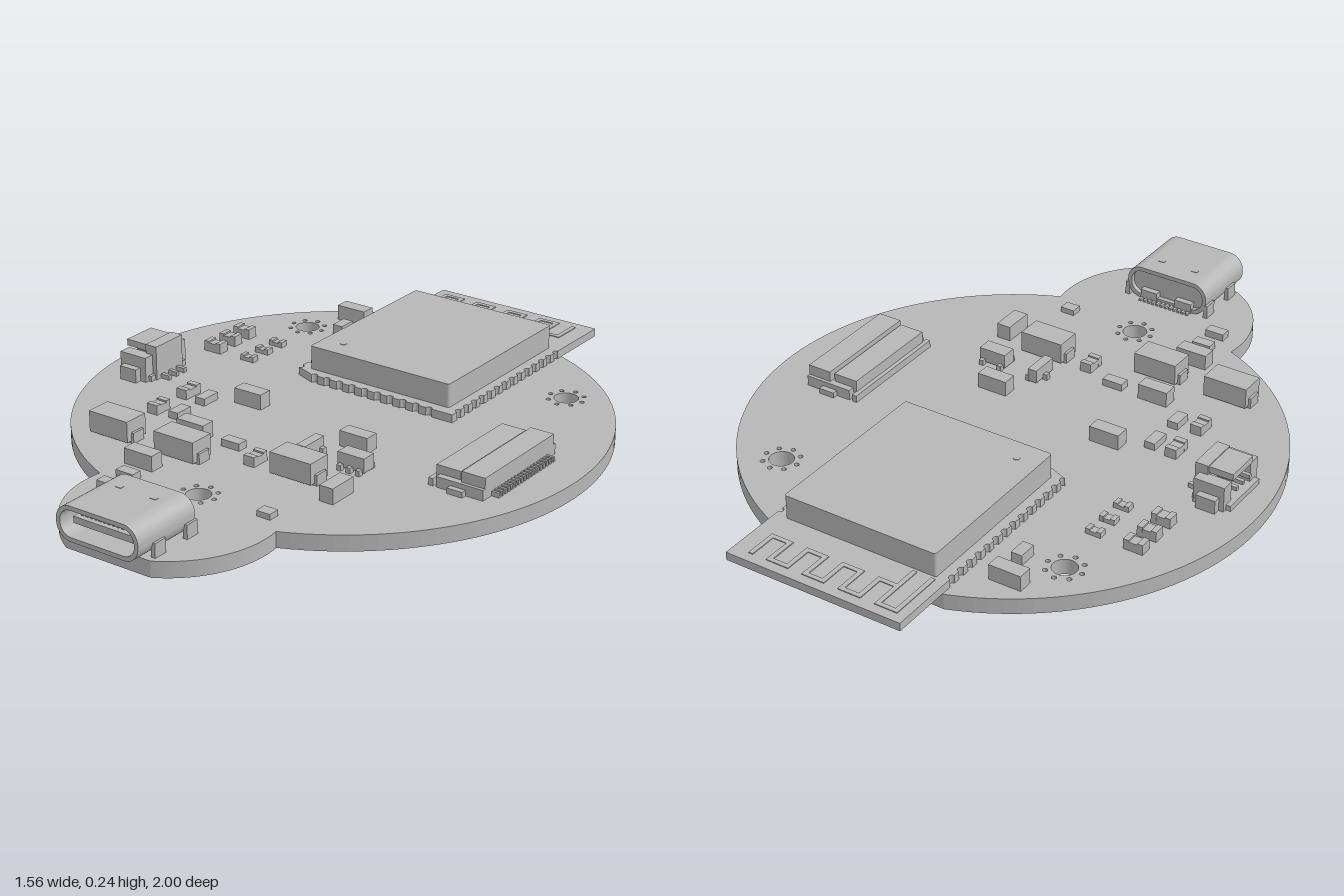
import * as THREE from 'three';

const TOP = 0.133, BOT = 0.085; // board faces

export function createModel() {
  const root = new THREE.Group();
  const grey = new THREE.MeshStandardMaterial({ color: 0xb6b6b6 });
  grey.name = 'plainGrey';

  const add = (name, geo, parent = root) => {
    const m = new THREE.Mesh(geo, grey);
    m.name = name;
    parent.add(m);
    return m;
  };
  const group = (name) => {
    const g = new THREE.Group();
    g.name = name;
    root.add(g);
    return g;
  };
  // box given by its limits on each axis
  const box = (name, x0, x1, y0, y1, z0, z1, parent) => {
    const g = new THREE.BoxGeometry(x1 - x0, y1 - y0, z1 - z0);
    g.translate((x0 + x1) / 2, (y0 + y1) / 2, (z0 + z1) / 2);
    return add(name, g, parent);
  };
  // flat slab from a plan outline drawn in (x, -z)
  const slab = (name, shape, y, h, parent) => {
    const g = new THREE.ExtrudeGeometry(shape, { depth: h, bevelEnabled: false, curveSegments: 24 });
    g.rotateX(-Math.PI / 2);
    g.translate(0, y, 0);
    return add(name, g, parent);
  };
  const circle = (x, y, r) => new THREE.Path().absarc(x, y, r, 0, Math.PI * 2, true);
  const roundRect = (P, w, h, r, cy) => {
    const p = new P(), a = Math.PI / 2;
    [[1, -1, -a], [1, 1, 0], [-1, 1, a], [-1, -1, 2 * a]].forEach(([sx, sy, t]) =>
      p.absarc(sx * (w - r), cy + sy * (h - r), r, t, t + a, false));
    p.closePath();
    return p;
  };

  // Circuit board: main disc, small front lobe, flat back edge, three mounting holes
  const outline = new THREE.Shape();
  outline.absarc(0, 0.08, 0.78, -1.176, 1.18, false);
  outline.absarc(0, 0.08, 0.78, Math.PI - 1.22, Math.PI + 1.176, false);
  outline.absarc(0, -0.69, 0.305, Math.PI - 0.165, Math.PI + 1.087, false);
  outline.absarc(0, -0.69, 0.305, -1.087, 0.165, false);
  outline.closePath();
  for (const [x, s] of [[-0.467, 0.543], [0.467, 0.543], [0, -0.585]]) {
    outline.holes.push(circle(x, s, 0.036));
    for (let i = 0; i < 8; i++) {
      const a = i * Math.PI / 4;
      outline.holes.push(circle(x + Math.cos(a) * 0.053, s + Math.sin(a) * 0.053, 0.007));
    }
  }
  slab('circuitBoard', outline, BOT, TOP - BOT);

  // Radio module: notched carrier, shield can, antenna trace
  const radio = group('radioModule');
  const XL = -0.265, XR = 0.295, q = Math.PI / 2, nr = 0.01;
  const carrier = new THREE.Shape();
  carrier.moveTo(XL, 0.2);
  for (let i = 0; i < 10; i++) carrier.absarc(-0.19 + i * 0.045, 0.2, nr, 2 * q, 0, true);
  carrier.lineTo(XR, 0.2);
  for (let i = 0; i < 14; i++) carrier.absarc(XR, 0.235 + i * 0.041, nr, -q, q, true);
  carrier.lineTo(XR, 1);
  carrier.lineTo(XL, 1);
  for (let i = 13; i >= 0; i--) carrier.absarc(XL, 0.235 + i * 0.041, nr, q, -q, true);
  carrier.closePath();
  slab('moduleCarrier', carrier, TOP, 0.025, radio);
  const can = roundRect(THREE.Shape, 0.245, 0.2775, 0.008, 0.5125);
  slab('shieldCan', can, 0.158, 0.073, radio).position.x = 0.015;
  const dot = add('pinOneDot', new THREE.CylinderGeometry(0.01, 0.01, 0.002, 16), radio);
  dot.position.set(-0.16, 0.2315, -0.305);
  const ty = 0.158, th = 0.1605, tw = 0.014;
  const bars = 9, pitch = 0.058, x0 = -0.235;
  for (let i = 0; i < bars; i++) {
    const x = x0 + i * pitch, far = i % 2 === 0;
    box('antennaBar', x, x + tw, ty, th, -0.97, i < 2 ? -0.8 : -0.87, radio);
    if (i < bars - 1) {
      const z = far ? -0.97 : -0.884;
      box('antennaLink', x + tw, x + pitch, ty, th, z, z + tw, radio);
    }
  }

  // USB-style socket: hollow rounded shell, back wall, tongue, legs
  const usb = group('powerSocket');
  const shell = roundRect(THREE.Shape, 0.137, 0.052, 0.048, 0.186);
  shell.holes.push(roundRect(THREE.Path, 0.124, 0.039, 0.036, 0.186));
  const sg = new THREE.ExtrudeGeometry(shell, { depth: 0.23, bevelEnabled: false, curveSegments: 10 });
  sg.translate(0, 0, 0.77);
  add('socketShell', sg, usb);
  const wall = new THREE.ExtrudeGeometry(roundRect(THREE.Shape, 0.125, 0.04, 0.036, 0.186),
    { depth: 0.04, bevelEnabled: false });
  wall.translate(0, 0, 0.785);
  add('socketBackWall', wall, usb);
  box('socketTongue', -0.1, 0.1, 0.176, 0.196, 0.8, 0.975, usb);
  for (const s of [-1, 1]) {
    for (const z of [0.79, 0.92]) {
      const x = s * 0.137;
      box('socketLeg', x - 0.007, x + 0.007, BOT - 0.004, 0.175, z - 0.022, z + 0.022, usb);
    }
    box('socketRearTab', s * 0.06 - 0.028, s * 0.06 + 0.028, TOP, 0.165, 0.765, 0.785, usb);
    box('socketTopDimple', s * 0.058 - 0.01, s * 0.058 + 0.01, 0.237, 0.2395, 0.832, 0.845, usb);
  }
  for (let i = 0; i < 12; i++) {
    const x = -0.082 + i * 0.0149;
    box('socketContact', x - 0.004, x + 0.004, 0.196, 0.198, 0.85, 0.96, usb);
    box('socketTail', x - 0.004, x + 0.004, TOP, 0.14, 0.75, 0.79, usb);
  }

  // Flat cable connector on the left side
  const flat = group('ribbonConnector');
  box('ribbonBase', 0.49, 0.64, TOP, 0.165, -0.195, 0.175, flat);
  box('ribbonHousing', 0.565, 0.64, TOP, 0.197, -0.185, 0.165, flat);
  box('ribbonLatch', 0.478, 0.556, 0.15, 0.19, -0.175, 0.155, flat);
  box('ribbonLip', 0.465, 0.48, TOP, 0.155, -0.195, 0.175, flat);
  for (const z of [-0.2, 0.18]) box('ribbonAnchor', 0.535, 0.585, TOP, 0.15, z - 0.012, z + 0.012, flat);
  for (let i = 0; i < 18; i++) {
    const z = -0.148 + i * 0.0163;
    box('ribbonPin', 0.635, 0.665, TOP, 0.147, z - 0.004, z + 0.004, flat);
  }

  // Battery connector on the right side
  const batt = group('batteryConnector');
  box('batteryFloor', -0.705, -0.585, TOP, 0.15, -0.085, 0.075, batt);
  box('batteryRoof', -0.695, -0.59, 0.215, 0.235, -0.06, 0.05, batt);
  box('batteryRear', -0.62, -0.58, TOP, 0.238, -0.065, 0.055, batt);
  for (const s of [-1, 1]) {
    const z = -0.005 + s * 0.073;
    box('batterySide', -0.69, -0.595, TOP, 0.21, z - 0.02, z + 0.02, batt);
    box('batteryAnchor', -0.675, -0.615, TOP, 0.175, z + s * 0.03 - 0.012, z + s * 0.03 + 0.012, batt);
  }
  for (const z of [-0.04, -0.005, 0.03]) {
    box('batteryPin', -0.7, -0.6, 0.175, 0.187, z - 0.006, z + 0.006, batt);
    box('batteryTail', -0.585, -0.55, TOP, 0.147, z - 0.006, z + 0.006, batt);
  }

  // Chip parts on top: centre x, z, width, depth, top height
  const blocks = [
    [-0.378, -0.672, 0.1, 0.045, 0.18], [-0.247, 0.027, 0.095, 0.045, 0.18],
    [-0.247, 0.292, 0.095, 0.045, 0.18], [0.172, 0.09, 0.095, 0.045, 0.18],
    [0.307, 0.38, 0.045, 0.095, 0.18], [-0.238, 0.53, 0.098, 0.045, 0.18],
    [-0.352, -0.57, 0.034, 0.058, 0.165], [-0.11, 0.29, 0.064, 0.034, 0.155],
    [-0.365, 0.09, 0.034, 0.064, 0.155], [-0.365, 0.214, 0.034, 0.06, 0.155],
    [0.227, 0.58, 0.045, 0.036, 0.15], [-0.22, 0.615, 0.06, 0.034, 0.155],
    [-0.22, 0.695, 0.06, 0.034, 0.155],
  ];
  for (const [x, z, w, d, y] of blocks) {
    box('chipCapacitor', x - w / 2, x + w / 2, TOP, y, z - d / 2, z + d / 2);
  }
  // Chip parts with raised end caps
  const capped = [
    [-0.436, 0.085, 0.036, 0.066, 0.163], [-0.436, 0.222, 0.036, 0.06, 0.163],
    [0.002, 0.337, 0.036, 0.06, 0.163],
  ];
  for (const z of [-0.37, -0.3, -0.227]) {
    capped.push([-0.58, z, 0.06, 0.036, 0.165], [-0.453, z, 0.048, 0.026, 0.15]);
  }
  for (const [x, z, w, d, y] of capped) {
    const g = group('chipResistor'), alongX = w > d;
    const hx = w / 2, hz = d / 2;
    box('resistorBody', x - hx * 0.97, x + hx * 0.97, TOP, y - 0.005, z - hz * 0.97, z + hz * 0.97, g);
    for (const s of [-1, 1]) {
      const ex = alongX ? x + s * hx * 0.72 : x, ez = alongX ? z : z + s * hz * 0.72;
      const ew = alongX ? hx * 0.28 : hx, ed = alongX ? hz : hz * 0.28;
      box('resistorCap', ex - ew, ex + ew, TOP, y, ez - ed, ez + ed, g);
    }
  }
  // Diodes with end terminals
  for (const [x, z] of [[-0.424, 0.418], [-0.19, 0.418], [0.151, 0.338]]) {
    const g = group('diode');
    box('diodeBody', x - 0.069, x + 0.069, 0.14, 0.203, z - 0.04, z + 0.04, g);
    for (const s of [-1, 1]) {
      box('diodeTerminal', x + s * 0.066 - 0.011, x + s * 0.066 + 0.011, TOP, 0.165, z - 0.022, z + 0.022, g);
    }
  }
  // Small leaded packages
  const tr = group('transistor');
  box('transistorBody', 0.083, 0.112, 0.14, 0.18, 0.167, 0.257, tr);
  for (const [a, b, z] of [[0.07, 0.085, 0.212], [0.11, 0.125, 0.182], [0.11, 0.125, 0.242]]) {
    box('transistorLead', a, b, TOP, 0.152, z - 0.008, z + 0.008, tr);
  }
  const reg = group('regulator');
  box('regulatorBody', 0.205, 0.293, 0.14, 0.183, 0.185, 0.232, reg);
  for (const x of [0.218, 0.249, 0.28]) {
    box('regulatorLead', x - 0.007, x + 0.007, TOP, 0.15, 0.23, 0.246, reg);
    if (x !== 0.249) box('regulatorLead', x - 0.007, x + 0.007, TOP, 0.15, 0.172, 0.187, reg);
  }

  // Push buttons underneath
  for (const x of [-0.153, 0.173]) {
    const g = group('pushButton'), z = -0.565;
    box('buttonBody', x - 0.05, x + 0.05, 0.032, BOT, z - 0.058, z + 0.058, g);
    box('buttonFrame', x - 0.056, x + 0.056, 0.05, 0.07, z - 0.074, z + 0.074, g);
    for (const s of [-1, 1]) {
      box('buttonFoot', x - 0.05, x + 0.05, 0.07, BOT, z + s * 0.064 - 0.012, z + s * 0.064 + 0.012, g);
    }
    add('buttonPlunger', new THREE.CylinderGeometry(0.027, 0.027, 0.035, 24), g).position.set(x, 0.0175, z);
  }
  // Chip parts underneath: centre x, z, width, depth, lowest height
  const under = [
    [-0.33, 0.54, 0.075, 0.05, 0.042], [0.002, -0.61, 0.065, 0.045, 0.045],
    [-0.21, 0.53, 0.05, 0.1, 0.07], [0.268, 0.57, 0.036, 0.06, 0.07], [0.19, 0.57, 0.036, 0.06, 0.07],
    [-0.698, 0, 0.036, 0.06, 0.07], [-0.698, -0.123, 0.036, 0.06, 0.07],
    [0.163, -0.69, 0.06, 0.036, 0.073], [-0.06, -0.65, 0.06, 0.036, 0.073],
    [-0.147, -0.69, 0.06, 0.036, 0.073],
  ];
  for (const [x, z, w, d, y] of under) {
    box('undersideChip', x - w / 2, x + w / 2, y, BOT, z - d / 2, z + d / 2);
  }
  return root;
}
